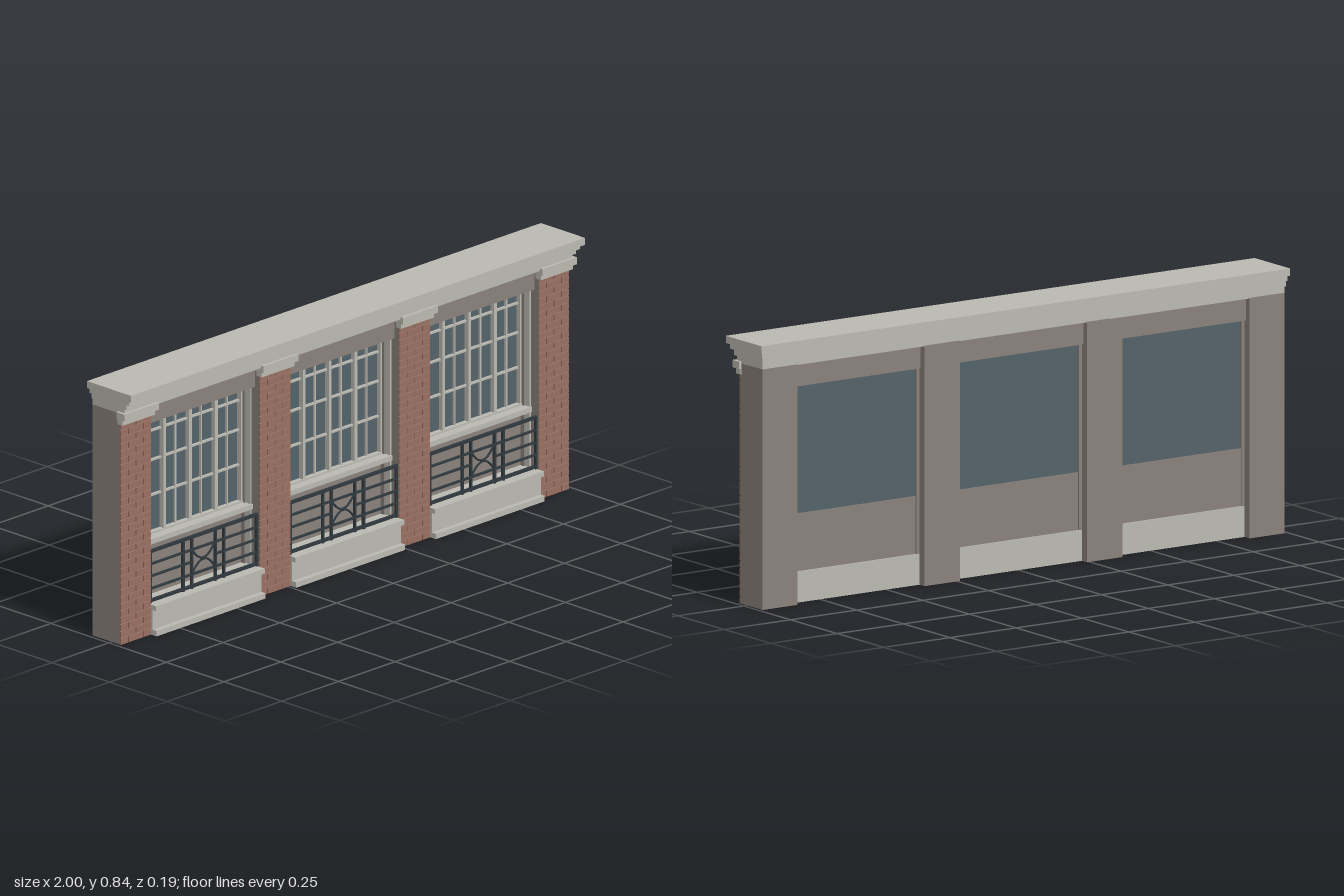
import * as THREE from 'three';
import { mergeGeometries } from 'three/addons/utils/BufferGeometryUtils.js';

const material = (name, color, side = THREE.FrontSide) => {
  const m = new THREE.MeshStandardMaterial({ color, side });
  m.name = name;
  return m;
};

// Box given by its limits on each axis
const block = (x0, x1, y0, y1, z0, z1) =>
  new THREE.BoxGeometry(x1 - x0, y1 - y0, z1 - z0)
    .translate((x0 + x1) / 2, (y0 + y1) / 2, (z0 + z1) / 2);

export function createModel() {
  const stone = material('pale stone', 0xbab9b1);
  const brick = material('red brick', 0x9a6e60);
  const render = material('brown render', 0x8a817b);
  const glass = material('blue grey glass', 0x536269);
  const iron = material('dark iron', 0x303a3f);

  const model = new THREE.Group();
  model.name = 'facade';
  const add = (parent, name, mat, ...geometries) => {
    const mesh = new THREE.Mesh(mergeGeometries(geometries), mat);
    mesh.name = name;
    parent.add(mesh);
    return mesh;
  };

  // Brick-faced pillars with stepped capitals
  const courses = 32, top = 0.73, gap = 0.003;
  for (const [x0, x1] of [[-0.987, -0.855], [-0.375, -0.24], [0.24, 0.375], [0.855, 0.987]]) {
    const pillar = new THREE.Group();
    pillar.name = 'pillar';
    model.add(pillar);
    add(pillar, 'pillarCore', render, block(x0, x1, 0, 0.76, -0.082, 0.037));

    const bricks = [];
    const h = top / courses;
    for (let row = 0; row < courses; row++) {
      const joints = row % 2 ? [0, 0.5, 1] : [0, 0.25, 0.75, 1];
      for (let i = 0; i + 1 < joints.length; i++) {
        const a = x0 + joints[i] * (x1 - x0) + (i ? gap / 2 : 0);
        const b = x0 + joints[i + 1] * (x1 - x0) - (i + 2 < joints.length ? gap / 2 : 0);
        bricks.push(block(a, b, row * h, (row + 1) * h - gap, 0.036, 0.0405));
      }
    }
    add(pillar, 'brickFacing', brick, ...bricks);

    add(pillar, 'capital', stone,
      block(x0 - 0.005, x1 + 0.005, 0.725, 0.743, 0.03, 0.053),
      block(x0 - 0.01, x1 + 0.01, 0.743, 0.766, 0.03, 0.065));
  }

  // Cornice: [half width, bottom, top, back, front] for each course
  const cornice = [
    [0.987, 0.758, 0.780, -0.082, 0.055],
    [0.990, 0.780, 0.798, -0.085, 0.068],
    [0.994, 0.798, 0.814, -0.089, 0.082],
    [1.000, 0.814, 0.837, -0.094, 0.097],
  ].map(([w, y0, y1, z0, z1]) => block(-w, w, y0, y1, z0, z1));
  add(model, 'cornice', stone, ...cornice);

  // Window bays between the pillars
  for (const x of [-0.615, 0, 0.615]) {
    const bay = new THREE.Group();
    bay.name = 'windowBay';
    bay.position.x = x;
    model.add(bay);
    const w = 0.24;

    add(bay, 'plinth', stone,
      block(-w, w, 0, 0.018, -0.055, 0.065),
      block(-w, w, 0.018, 0.082, -0.055, 0.048),
      block(-w, w, 0.082, 0.098, -0.055, 0.062));
    add(bay, 'apronPanel', render, block(-w, w, 0.098, 0.28, -0.05, -0.03));
    add(bay, 'lintel', render, block(-w, w, 0.685, 0.759, -0.062, 0.02));
    add(bay, 'windowSill', stone,
      block(-w, w, 0.28, 0.297, -0.04, 0.01));
    add(bay, 'glass', glass, block(-w, w, 0.28, 0.69, -0.046, -0.04));

    // Jambs and their slim stone trims
    for (const s of [-1, 1]) {
      const a = s * w, b = s * 0.229, c = s * 0.234;
      add(bay, 'jamb', render,
        block(Math.min(a, b), Math.max(a, b), 0.098, 0.685, -0.055, -0.015));
      add(bay, 'jambTrim', stone,
        block(Math.min(a, c), Math.max(a, c), 0.098, 0.685, -0.015, 0.005));
    }

    // Window frame: four casements, each two panes wide
    const bars = [
      block(-0.232, 0.232, 0.676, 0.686, -0.041, -0.022),
      block(-0.232, 0.232, 0.295, 0.303, -0.041, -0.022),
    ];
    for (let i = 0; i <= 8; i++) {
      const bx = -0.228 + i * 0.057;
      const t = i % 2 ? 0.0028 : 0.006;
      bars.push(block(bx - t, bx + t, 0.297, 0.685, -0.041, i % 2 ? -0.032 : -0.024));
    }
    for (const y of [0.42, 0.535, 0.632])
      bars.push(block(-0.23, 0.23, y - 0.003, y + 0.003, -0.041, -0.031));
    add(bay, 'windowFrame', stone, ...bars);

    // Iron railing
    const z0 = 0.028, z1 = 0.036;
    const rail = [];
    for (const y of [0.108, 0.27]) rail.push(block(-0.236, 0.236, y - 0.005, y + 0.005, z0, z1));
    for (const s of [-1, 1]) {
      for (const px of [0.234, 0.09, 0.052])
        rail.push(block(s * px - 0.004, s * px + 0.004, 0.1, 0.275, z0, z1));
      for (const y of [0.147, 0.188, 0.228]) {
        const a = s * 0.052, b = s * 0.234;
        rail.push(block(Math.min(a, b), Math.max(a, b), y - 0.003, y + 0.003, z0, z1));
      }
    }
    for (const y of [0.147, 0.228])
      rail.push(block(-0.052, 0.052, y - 0.003, y + 0.003, z0, z1));
    add(bay, 'railing', iron, ...rail);

    // Pair of arcs touching at the middle of the railing
    const arcs = [-1, 1].map((s) => {
      const curve = new THREE.QuadraticBezierCurve3(
        new THREE.Vector3(-0.05, 0.188 + s * 0.04, 0.032),
        new THREE.Vector3(0, 0.188 - s * 0.036, 0.032),
        new THREE.Vector3(0.05, 0.188 + s * 0.04, 0.032));
      return new THREE.TubeGeometry(curve, 14, 0.0035, 6);
    });
    add(bay, 'railingArcs', iron, ...arcs);
  }

  return model;
}
